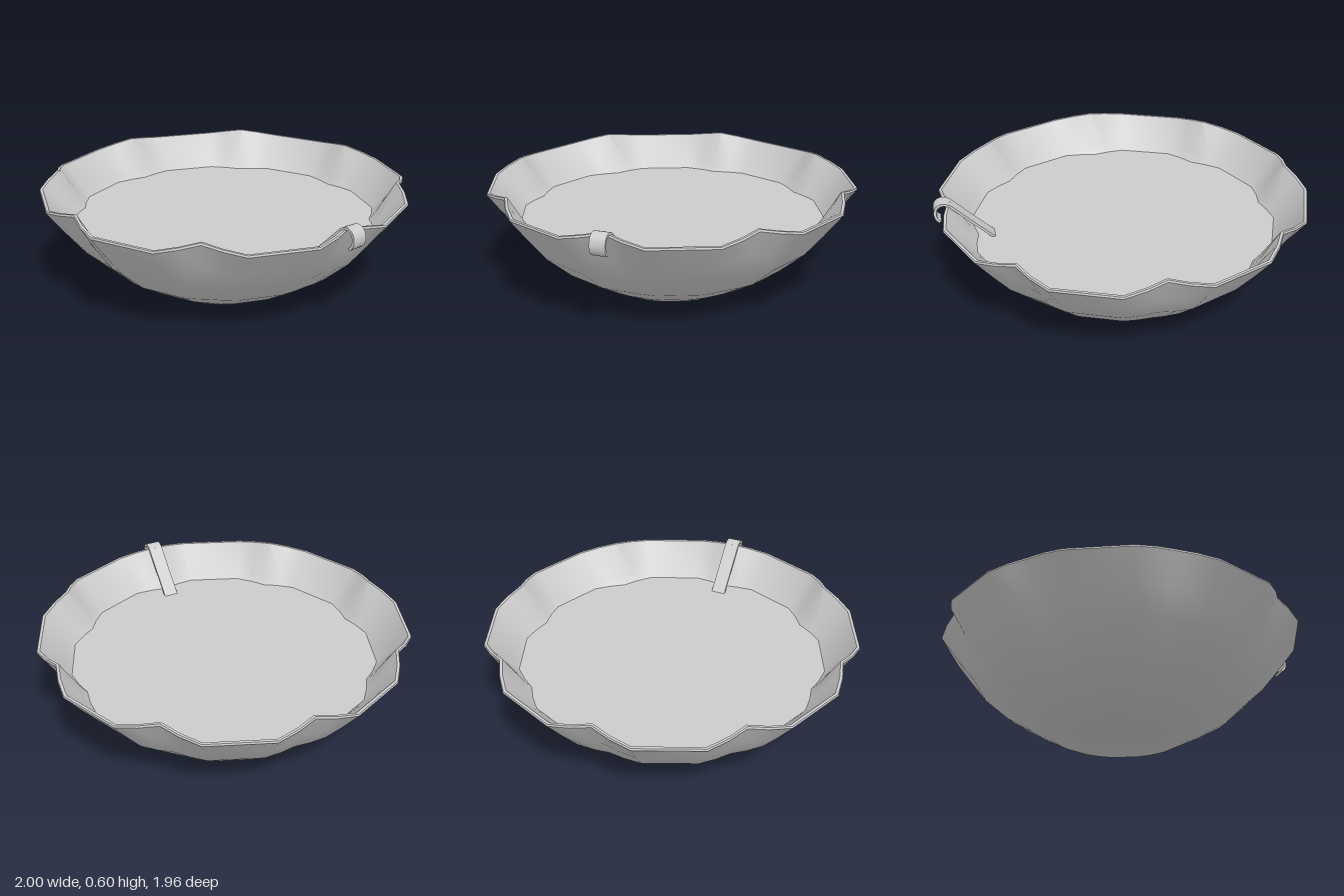
import * as THREE from 'three';
import { toCreasedNormals } from 'three/addons/utils/BufferGeometryUtils.js';

const material = new THREE.MeshStandardMaterial({ color: 0xcccccc, side: THREE.DoubleSide });
const RIM_Y = 0.545;

// One petal of the rim, repeated eight times: [degrees, relative radius, share of the rim peak]
const petal = [[0, 0.94, 1], [6, 0.971, 0.5], [12.5, 1, 0], [32.5, 1, 0], [39, 0.971, 0.5]];

// Revolve a [radius, height] profile; the scallops fade towards the base
function scalloped(profile, rise) {
  const ribs = [];
  for (let i = 0; i < 8; i++) {
    for (const [deg, scale, peak] of petal) ribs.push([THREE.MathUtils.degToRad(i * 45 + deg), scale, peak]);
  }
  const n = ribs.length, positions = [], index = [];
  for (const [r, y] of profile) {
    const t = Math.min(1, y / RIM_Y);
    for (const [angle, scale, peak] of ribs) {
      const radius = r * (1 - (1 - scale) * t);
      positions.push(radius * Math.sin(angle), y + rise * peak * t ** 4, radius * Math.cos(angle));
    }
  }
  for (let j = 0; j < profile.length - 1; j++) {
    for (let i = 0; i < n; i++) {
      const a = j * n + i, b = j * n + (i + 1) % n, c = a + n, d = b + n;
      if (profile[j][0] > 0) index.push(a, b, c);
      if (profile[j + 1][0] > 0) index.push(b, d, c);
    }
  }
  // A centre point has no second triangle from its own ring, so close the fans
  const geometry = new THREE.BufferGeometry();
  geometry.setAttribute('position', new THREE.Float32BufferAttribute(positions, 3));
  geometry.setIndex(index);
  return toCreasedNormals(geometry, 0.6);
}

// Flat strip of even thickness bent along a curve in the xy plane
function strip(points, thickness, width) {
  const curve = new THREE.SplineCurve(points.map(([x, y]) => new THREE.Vector2(x, y)));
  const sideA = [], sideB = [];
  for (let i = 0; i <= 32; i++) {
    const p = curve.getPoint(i / 32), t = curve.getTangent(i / 32);
    const normal = new THREE.Vector2(-t.y, t.x).multiplyScalar(thickness / 2);
    sideA.push(p.clone().add(normal));
    sideB.unshift(p.clone().sub(normal));
  }
  const shape = new THREE.Shape([...sideA, ...sideB]);
  const geometry = new THREE.ExtrudeGeometry(shape, { depth: width, bevelEnabled: false });
  geometry.translate(0, 0, -width / 2);
  return toCreasedNormals(geometry, 0.7);
}

export function createModel() {
  const group = new THREE.Group();
  const add = (name, geometry, x = 0) => {
    const mesh = new THREE.Mesh(geometry, material);
    mesh.name = name;
    mesh.position.x = x;
    group.add(mesh);
  };

  // Bowl: base, outer wall, thin lip, inner wall and floor
  add('bowl', scalloped([
    [0, 0], [0.39, 0], [0.51, 0.065], [0.665, 0.16], [0.805, 0.285], [0.905, 0.41], [1.003, 0.54],
    [1.0, 0.55], [0.985, 0.55], [0.87, 0.41], [0.835, 0.37], [0.64, 0.19], [0.39, 0.04], [0, 0.04],
  ], 0.038), -0.02);

  // Level contents filling the bowl
  add('liquid', scalloped([[0.838, 0.37], [0, 0.37]], 0), -0.02);

  // Ladle handle rising out of the liquid and hooking over the rim
  add('ladleHandle', strip([
    [0.67, 0.345], [0.74, 0.412], [0.81, 0.48], [0.88, 0.55], [0.915, 0.582],
    [0.95, 0.592], [0.98, 0.575], [0.99, 0.54], [0.982, 0.51], [0.965, 0.494],
  ], 0.014, 0.08));

  return group;
}
